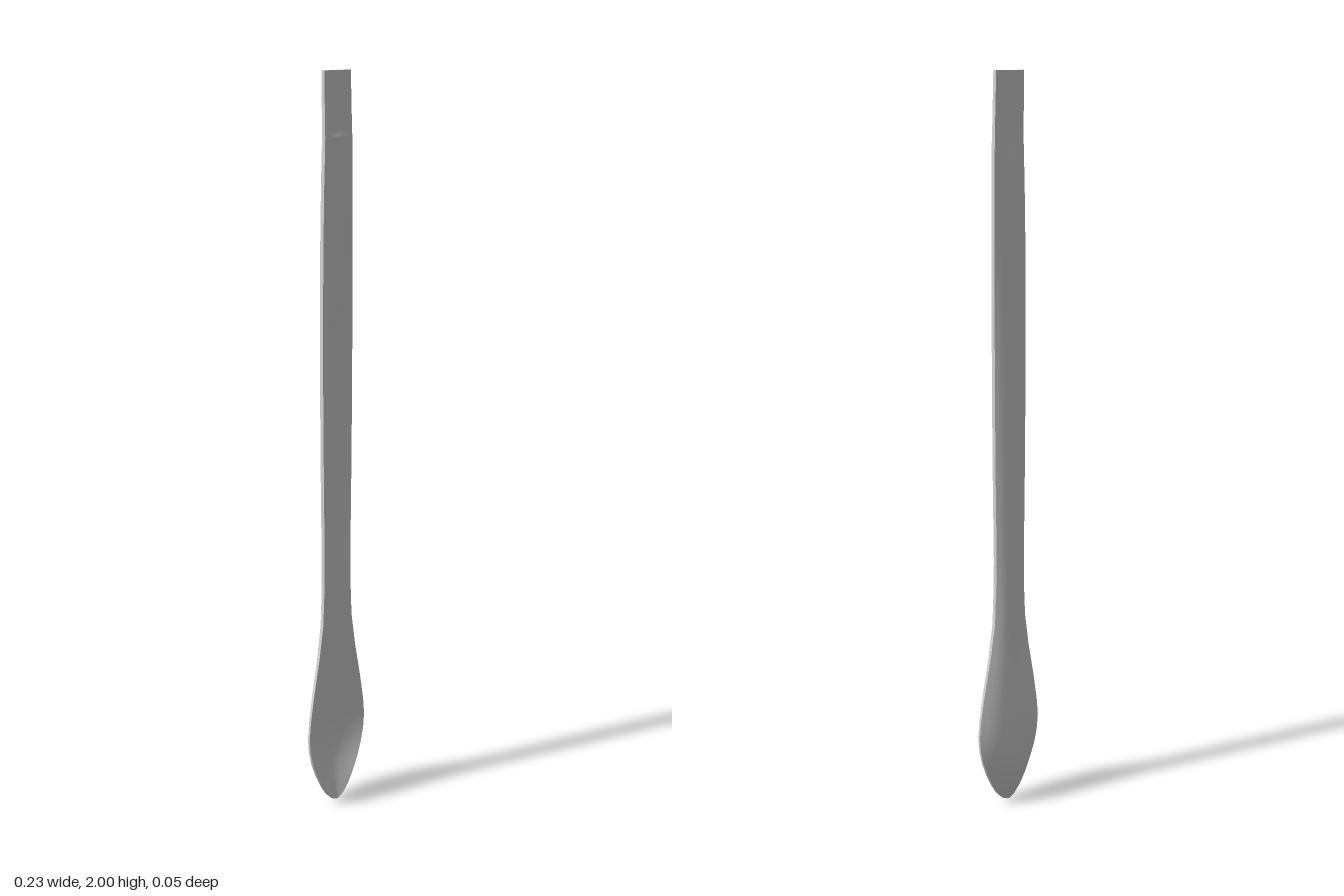
import * as THREE from 'three';

// Cross-sections: height, half width, rim front z, rim back z, front middle z, back middle z
const SECTIONS = [
  [0.00, 0.004, 0.019, 0.013, 0.018, 0.012],
  [0.008, 0.022, 0.019, 0.013, 0.016, 0.009],
  [0.03, 0.045, 0.019, 0.013, 0.009, 0.001],
  [0.06, 0.065, 0.019, 0.012, 0.000, -0.009],
  [0.10, 0.086, 0.019, 0.012, -0.010, -0.019],
  [0.14, 0.102, 0.018, 0.011, -0.016, -0.025],
  [0.18, 0.112, 0.018, 0.011, -0.018, -0.027],
  [0.22, 0.116, 0.018, 0.011, -0.018, -0.026],
  [0.27, 0.111, 0.018, 0.011, -0.016, -0.024],
  [0.35, 0.096, 0.018, 0.010, -0.012, -0.020],
  [0.45, 0.074, 0.018, 0.009, -0.006, -0.015],
  [0.54, 0.059, 0.018, 0.008, -0.002, -0.012],
  [0.64, 0.054, 0.018, 0.008, 0.000, -0.011],
  [0.72, 0.053, 0.018, 0.007, 0.001, -0.011],
  [0.95, 0.056, 0.018, 0.007, 0.001, -0.011],
  [1.20, 0.058, 0.018, 0.007, 0.002, -0.010],
  [1.40, 0.058, 0.018, 0.007, 0.005, -0.008],
  [1.58, 0.057, 0.019, 0.008, 0.010, -0.004],
  [1.72, 0.055, 0.020, 0.009, 0.018, 0.001],
  [1.80, 0.053, 0.021, 0.010, 0.024, 0.005],
  [1.838, 0.052, 0.021, 0.010, 0.026, 0.007],
  [1.848, 0.052, 0.020, 0.010, 0.022, 0.007],
  [2.00, 0.050, 0.017, 0.007, 0.018, 0.005],
];
const STEPS = 12;
const LEDGE = 20; // section where the trough meets the flat end

// Points across the front and back faces; t runs from -1 to 1
const frontPoint = ([y, w, rf, , mf], t) =>
  [w * t, y, rf + (mf - rf) * (1 - Math.abs(t) ** 1.5)];
const backPoint = ([y, w, , rb, , mb], t) =>
  [w * t, y, rb + (mb - rb) * (1 - t * t)];

// Smooth grid surface, facing along u cross v
function surface(name, material, rows) {
  const n = rows[0].length;
  const index = [];
  for (let i = 0; i < rows.length - 1; i++) {
    for (let j = 0; j < n - 1; j++) {
      const a = i * n + j, b = a + 1, c = b + n, d = a + n;
      index.push(a, b, c, a, c, d);
    }
  }
  const geometry = new THREE.BufferGeometry();
  geometry.setAttribute('position', new THREE.Float32BufferAttribute(rows.flat(2), 3));
  geometry.setIndex(index);
  geometry.computeVertexNormals();
  const mesh = new THREE.Mesh(geometry, material);
  mesh.name = name;
  return mesh;
}

export function createModel() {
  const group = new THREE.Group();
  group.name = 'longSpoon';
  const metal = new THREE.MeshStandardMaterial({ color: 0xd6d6d6 });
  metal.name = 'light grey';

  const ts = Array.from({ length: STEPS + 1 }, (_, i) => -1 + (2 * i) / STEPS);
  const fronts = SECTIONS.map((s) => ts.map((t) => frontPoint(s, t)));
  const backs = SECTIONS.map((s) => ts.map((t) => backPoint(s, -t)));
  const first = SECTIONS[0], last = SECTIONS[SECTIONS.length - 1];

  group.add(
    // Hollow bowl and handle trough, small step, flat end
    surface('bowlAndTrough', metal, fronts.slice(0, LEDGE + 1)),
    surface('ledge', metal, fronts.slice(LEDGE, LEDGE + 2)),
    surface('flatEnd', metal, fronts.slice(LEDGE + 1)),
    // Rounded back
    surface('back', metal, backs),
    // Thin side rims
    surface('leftRim', metal, SECTIONS.map((s) => [frontPoint(s, 1), backPoint(s, 1)])),
    surface('rightRim', metal, SECTIONS.map((s) => [backPoint(s, -1), frontPoint(s, -1)])),
    // End caps
    surface('topCap', metal, [ts.map((t) => frontPoint(last, t)), ts.map((t) => backPoint(last, t))]),
    surface('tipCap', metal, [ts.map((t) => backPoint(first, t)), ts.map((t) => frontPoint(first, t))]),
  );
  return group;
}
